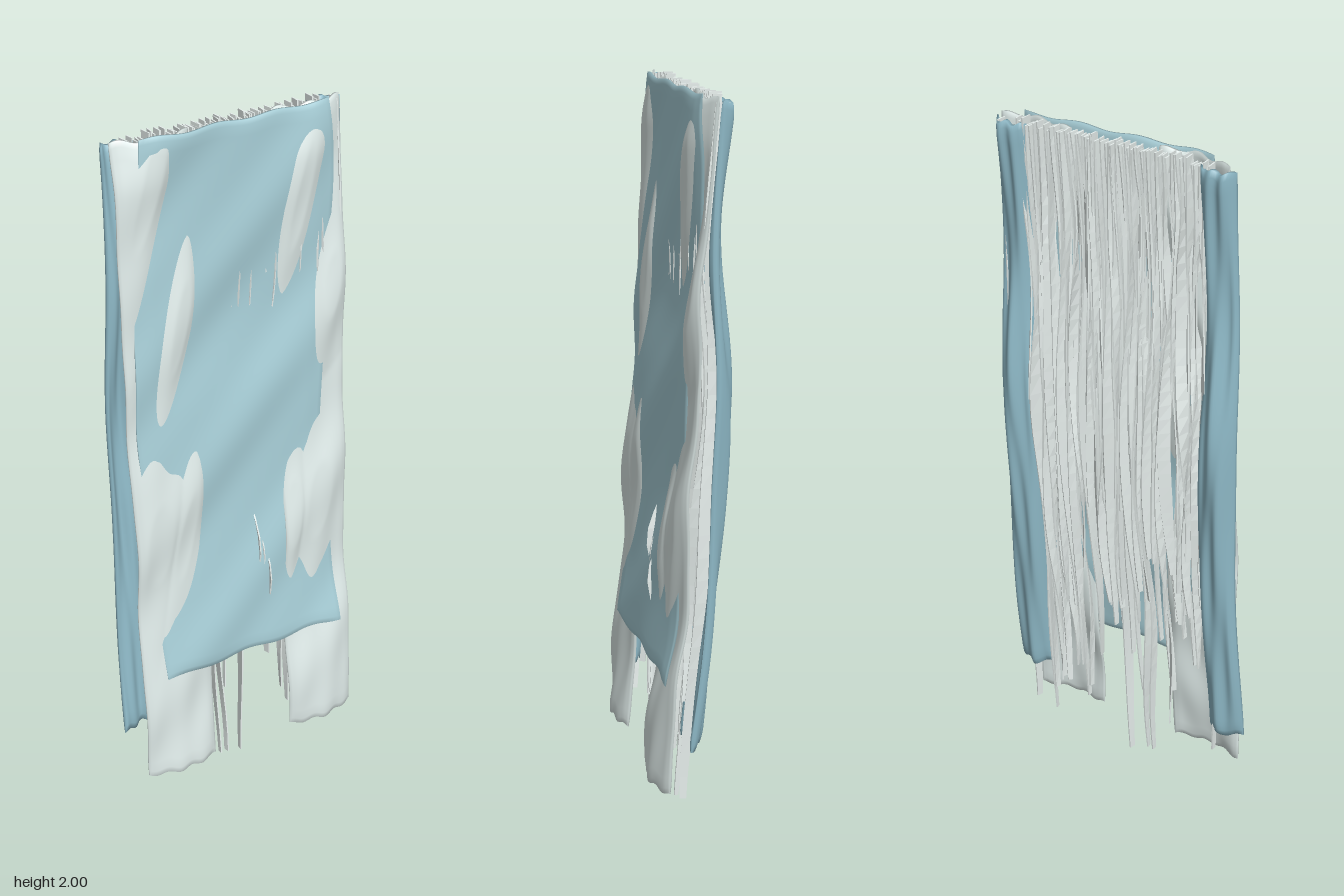
import * as THREE from 'three';

const blue = new THREE.MeshStandardMaterial({ color: 0xa9d0d9, side: THREE.DoubleSide });
const deepBlue = new THREE.MeshStandardMaterial({ color: 0x8fbac8, side: THREE.DoubleSide });
const pale = new THREE.MeshStandardMaterial({ color: 0xdfebe9, side: THREE.DoubleSide });
const thread = new THREE.MeshStandardMaterial({ color: 0xe6eeec, side: THREE.DoubleSide });

// Smooth curve through values given at rising heights
function profile(heights, values) {
  const c = new THREE.CubicInterpolant(heights, values, 1, new Float32Array(1));
  return (y) => c.evaluate(THREE.MathUtils.clamp(y, heights[0], heights[heights.length - 1]))[0];
}

function seeded(seed) {
  return () => {
    seed = (seed * 16807) % 2147483647;
    return seed / 2147483647;
  };
}

// Skin closed rings running downwards; each ring is a front edge then a back edge
function loft(rings) {
  const n = rings[0].length;
  const idx = [];
  for (let j = 0; j < rings.length - 1; j++) {
    for (let i = 0; i < n; i++) {
      const k = (i + 1) % n;
      const a = j * n + i, b = j * n + k, c = a + n, d = b + n;
      idx.push(a, c, b, b, c, d);
    }
  }
  const last = (rings.length - 1) * n;
  for (let i = 0; i < n / 2 - 1; i++) {
    const f = i, g = i + 1, h = n - 2 - i, k = n - 1 - i;
    idx.push(f, g, h, f, h, k, last + f, last + h, last + g, last + f, last + k, last + h);
  }
  const geo = new THREE.BufferGeometry();
  geo.setAttribute('position', new THREE.Float32BufferAttribute(rings.flat(2), 3));
  geo.setIndex(idx);
  geo.computeVertexNormals();
  return geo;
}

// Hanging cloth: at(u, v) gives its middle surface, thickness narrows at the hems
function cloth(name, material, at, thickness, cols, rows) {
  const rings = [];
  for (let j = 0; j <= rows; j++) {
    const v = j / rows;
    const front = [], back = [];
    for (let i = 0; i <= cols; i++) {
      const u = i / cols;
      const [x, y, z] = at(u, v);
      const edge = Math.min(1, 0.35 + 8 * Math.min(u, 1 - u)) * Math.min(1, 0.5 + 30 * Math.min(v, 1 - v));
      const t = (thickness / 2) * edge;
      front.push([x, y, z + t]);
      back.unshift([x, y, z - t]);
    }
    rings.push([...front, ...back]);
  }
  const mesh = new THREE.Mesh(loft(rings), material);
  mesh.name = name;
  return mesh;
}

// Forward lean and diagonal folds shared by the front cloths, edges set back at the top
const frontLean = profile([0.05, 0.4, 0.6, 0.8, 1.2, 1.45, 1.65, 2], [0.096, 0.066, 0.042, 0.026, 0.006, -0.015, -0.018, -0.018]);
const frontZ = (x, y) => frontLean(y)
  + 0.007 * Math.sin(12 * (y - 0.8 * x) + 0.6) + 0.002 * Math.sin(24 * (y - x)) + 0.003 * Math.sin(9 * x + 3 * y)
  - 0.15 * x * x * THREE.MathUtils.smoothstep(y, 1.5, 2);
const panelLeft = profile([0.38, 0.7, 1.2, 1.6, 2], [-0.28, -0.3, -0.325, -0.31, -0.28]);
const panelRight = profile([0.38, 0.7, 1, 1.4, 1.8, 2], [0.325, 0.305, 0.28, 0.3, 0.33, 0.31]);

// Tilted patches where the pale strips billow past the panel: x, y, half width, half height, tilt
const billows = [
  [-0.185, 1.45, 0.045, 0.25, 0.22],
  [-0.255, 1.86, 0.055, 0.34, 0.28],
  [-0.28, 0.82, 0.08, 0.24, 0.1],
  [-0.19, 0.82, 0.05, 0.26, 0.2],
  [0.215, 1.74, 0.045, 0.3, 0.22],
  [0.315, 1.46, 0.05, 0.18, 0.16],
  [0.17, 0.78, 0.05, 0.2, 0.08],
  [0.26, 0.8, 0.075, 0.23, 0.14],
];
function billow(x, y) {
  let most = 0;
  for (const [cx, cy, w, h, tilt] of billows) {
    const dy = y - cy;
    const d = ((x - cx - tilt * dy) / w) ** 2 + (dy / h) ** 2;
    most = Math.max(most, Math.exp(-0.6 * d));
  }
  return Math.min(most, 0.85) + 0.06 * Math.sin(60 * x - 12 * y);
}

const sideZ = profile([0.2, 0.5, 0.9, 1.2, 1.6, 2], [0.01, -0.022, -0.055, -0.07, -0.045, -0.078]);
const strandZ = profile([0, 0.4, 0.8, 1.2, 1.6, 2], [0.026, 0.002, -0.03, -0.052, -0.045, -0.07]);

// Thin ribbon set edge-on, curling and narrowing towards its loose end
function strand(x0, z0, bottom, rand, curl, pushAt = -1) {
  const rows = 30;
  const phase = rand() * 6.28, wave = 4 + rand() * 4, sway = 0.004 + rand() * 0.007;
  const turn = curl * (0.5 + rand() * 0.7), depth = 0.012 + rand() * 0.008;
  const top = 1.98 + rand() * 0.02;
  const rings = [];
  for (let j = 0; j <= rows; j++) {
    const v = j / rows;
    const loose = Math.min(1, v * 5);
    const y = top + (bottom - top) * v;
    const x = x0 + loose * sway * Math.sin(wave * y + phase);
    let z = strandZ(y) + loose * (z0 + 0.006 * Math.sin(wave * 1.3 * y + phase * 2));
    if (pushAt > 0) z += 0.06 * Math.exp(-(((y - pushAt) / 0.14) ** 2));
    const a = 0.12 * Math.sin(phase) + loose * turn * Math.sin(wave * 0.7 * y + phase * 3);
    const w = 0.002;
    const d = depth * (v > 0.8 ? 1 - 2.5 * (v - 0.8) : 1);
    const c = Math.cos(a), s = Math.sin(a);
    rings.push([[-w, d], [w, d], [w, -d], [-w, -d]].map(([p, q]) => [x + p * c + q * s, y, z - p * s + q * c]));
  }
  const geo = loft(rings).toNonIndexed();
  geo.computeVertexNormals();
  const mesh = new THREE.Mesh(geo, thread);
  mesh.name = 'strand';
  return mesh;
}

export function createModel() {
  const model = new THREE.Group();
  model.name = 'hangingCloths';

  // Wide centre panel
  model.add(cloth('centrePanel', blue, (u, v) => {
    const hem = 0.385 + 0.006 * Math.sin(u * 17);
    const y = THREE.MathUtils.lerp(1.995 + 0.004 * Math.sin(u * 20), hem, v);
    const x = THREE.MathUtils.lerp(panelLeft(y), panelRight(y), u);
    return [x, y, frontZ(x, y)];
  }, 0.013, 48, 110));

  // Long pale strips, weaving behind and in front of the panel
  for (const [name, x0, x1] of [['rightPaleStrip', -0.35, -0.125], ['leftPaleStrip', 0.14, 0.365]]) {
    model.add(cloth(name, pale, (u, v) => {
      const y = THREE.MathUtils.lerp(1.99 + 0.006 * Math.sin(u * 15), 0.07 + 0.005 * Math.sin(u * 19 + x0 * 9), v);
      const x = THREE.MathUtils.lerp(x0, x1, u) + 0.004 * Math.sin(5 * y) * (u - 0.5);
      const low = 1 - THREE.MathUtils.smoothstep(y, 0.1, 0.5);
      const high = THREE.MathUtils.smoothstep(y, 1.85, 2);
      const z = frontZ(x, y) - 0.016 - 0.012 * high + 0.029 * billow(x, y) + 0.024 * low * Math.sin(Math.PI * u);
      return [x, y, z];
    }, 0.014, 32, 120));
  }

  // Narrow side strips at the back, arched, with lengthwise folds
  for (const side of [-1, 1]) {
    model.add(cloth(side < 0 ? 'rightSideStrip' : 'leftSideStrip', deepBlue, (u, v) => {
      const y = THREE.MathUtils.lerp(1.98 + 0.005 * Math.sin(u * 14), 0.21 + 0.006 * Math.sin(u * 12), v);
      const out = side < 0 ? 1 - u : u;
      const x = side * (0.324 + 0.012 * v + 0.004 * Math.sin(6 * y) + (out - 0.5) * (0.1 + 0.015 * v));
      const arch = 0.026 * Math.sin(Math.PI * out) - 0.008;
      const fold = 0.006 * Math.sin(9 * out + 5 * y) + 0.003 * Math.sin(16 * out - 7 * y);
      return [x, y, sideZ(y) - arch + fold];
    }, 0.024, 20, 90));
  }

  // Curtain of ragged strands behind the cloths, in two layers
  const rand = seeded(4127);
  const strands = new THREE.Group();
  strands.name = 'strands';
  for (let layer = 0; layer < 2; layer++) {
    for (let i = 0; i < 27; i++) {
      const x = -0.28 + i * 0.0218 + layer * 0.011 + (rand() - 0.5) * 0.006;
      const bottom = Math.abs(x) > 0.14 ? 0.12 + rand() * 0.6 : 0.42 + rand() * 0.5;
      strands.add(strand(x, layer ? 0.012 : -0.008, bottom, rand, 0.8));
    }
  }
  // Longest loose strands
  for (const [x, bottom] of [[-0.085, 0.02], [-0.066, 0.02], [0, 0], [-0.045, 0.24], [-0.02, 0.36], [0.105, 0.31], [0.28, 0.03], [0.355, 0.05], [-0.3, 0.12]]) {
    strands.add(strand(x, 0.002, bottom, rand, 0.2));
  }
  // Strands poking through the panel
  for (const [x, y] of [[0.045, 0.72], [0.06, 0.68], [0.075, 0.62]]) strands.add(strand(x, 0.005, 0.5, rand, 0.4, y));
  model.add(strands);

  return model;
}
